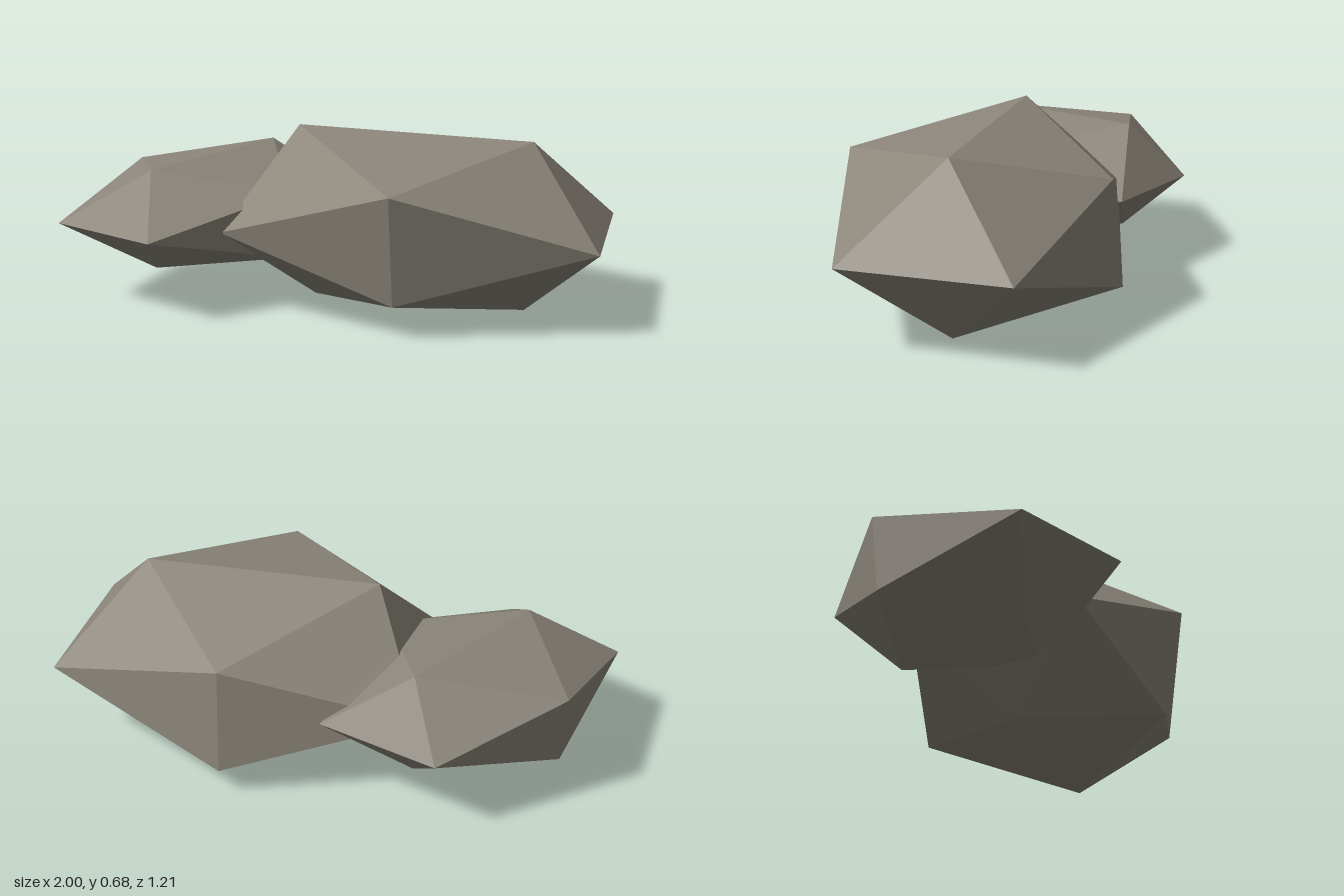
import * as THREE from 'three';

// Triangles of an icosahedron, by corner number
const FACES = [
  0, 11, 5, 0, 5, 1, 0, 1, 7, 0, 7, 10, 0, 10, 11,
  1, 5, 9, 5, 11, 4, 11, 10, 2, 10, 7, 6, 7, 1, 8,
  3, 9, 4, 3, 4, 2, 3, 2, 6, 3, 6, 8, 3, 8, 9,
  4, 9, 5, 2, 4, 11, 6, 2, 10, 8, 6, 7, 9, 8, 1,
];

// Irregular, flattened icosahedron with faceted sides
function makeRock(name, corners, material) {
  const indexed = new THREE.BufferGeometry();
  indexed.setAttribute('position', new THREE.Float32BufferAttribute(corners.flat(), 3));
  indexed.setIndex(FACES);
  const geometry = indexed.toNonIndexed();
  geometry.computeVertexNormals();
  const mesh = new THREE.Mesh(geometry, material);
  mesh.name = name;
  return mesh;
}

export function createModel() {
  const stone = new THREE.MeshStandardMaterial({ color: 0x8b857a, flatShading: true });
  stone.name = 'warm grey stone';

  const group = new THREE.Group();
  group.name = 'rocks';

  group.add(makeRock('largeRock', [
    // top ridge, bottom ridge
    [-0.22, 0.68, -0.01], [0.66, 0.655, -0.19], [-0.16, 0.01, -0.02], [0.64, 0, -0.19],
    // front pair, back pair
    [0.33, 0.125, 0.355], [0.345, 0.545, 0.43], [0.14, 0.11, -0.605], [0.155, 0.51, -0.565],
    // widest ring
    [0.87, 0.32, -0.56], [1, 0.32, 0.057], [-0.5, 0.32, -0.275], [-0.375, 0.32, 0.35],
  ], stone));

  group.add(makeRock('smallRock', [
    // top ridge, bottom ridge
    [-0.69, 0.52, 0.315], [-0.5, 0.545, -0.32], [-0.68, 0.135, 0.31], [-0.5, 0.13, -0.3],
    // inner pair, outer pair
    [-0.2, 0.18, 0.1], [-0.2, 0.44, 0.12], [-0.975, 0.185, -0.08], [-0.995, 0.46, -0.1],
    // widest ring
    [-0.66, 0.32, -0.495], [-0.19, 0.32, -0.44], [-1, 0.32, 0.49], [-0.53, 0.32, 0.605],
  ], stone));

  return group;
}
